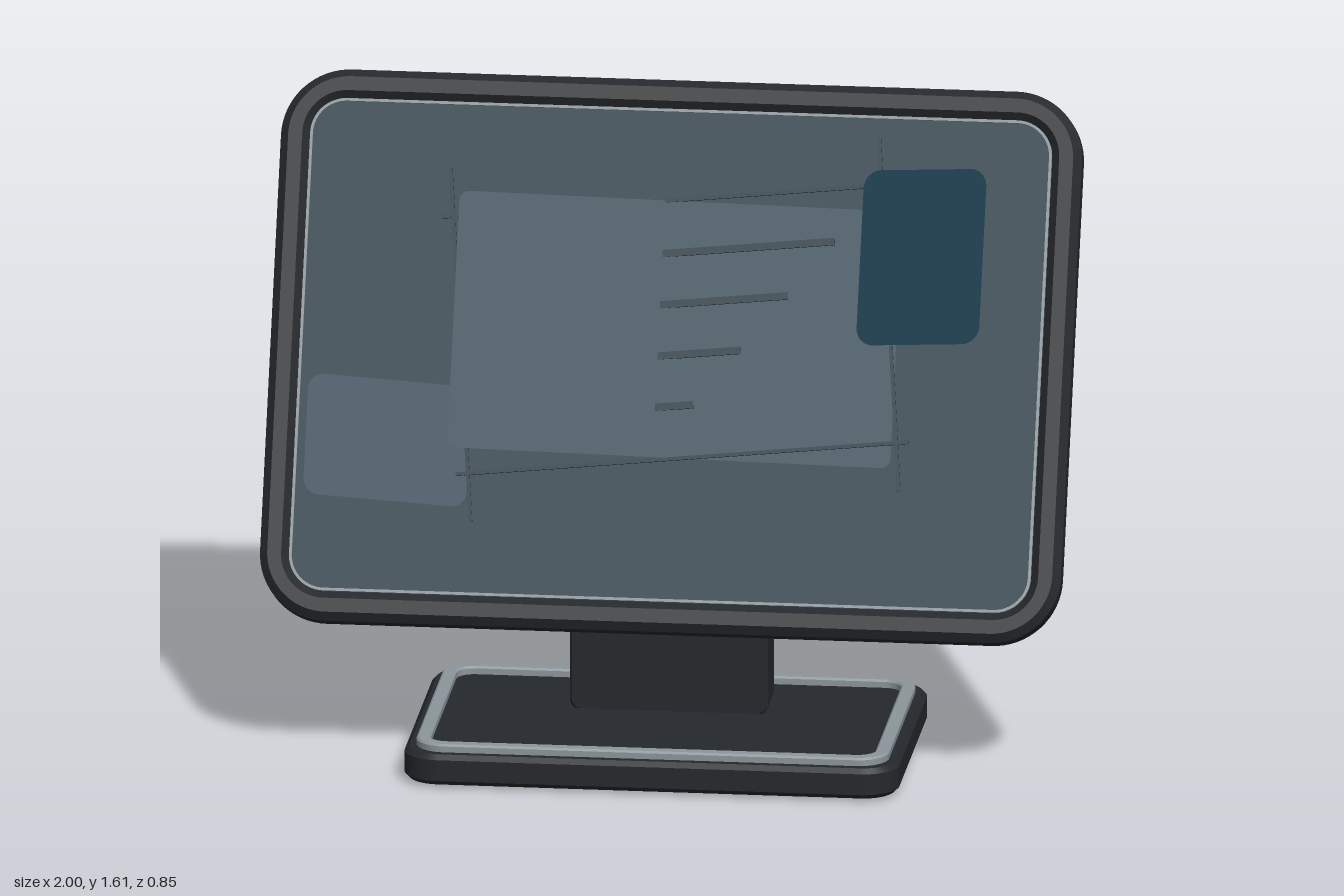
import * as THREE from 'three';

const mat = (color, side = THREE.FrontSide) => new THREE.MeshStandardMaterial({ color, side });
const DARK = mat(0x25282c), BLACK = mat(0x191b1e), METAL = mat(0x8c969b), GLASS = mat(0x87a0a8);
const SCREEN = mat(0x1d3845), LINE = mat(0x14303d), CARD = mat(0x1b3d4f, THREE.DoubleSide);

// Rounded rectangle centred on the origin
function rounded(w, h, r, Type = THREE.Shape) {
  const s = new Type(), x = w / 2, y = h / 2;
  s.moveTo(-x + r, -y);
  s.lineTo(x - r, -y); s.absarc(x - r, -y + r, r, -Math.PI / 2, 0);
  s.lineTo(x, y - r); s.absarc(x - r, y - r, r, 0, Math.PI / 2);
  s.lineTo(-x + r, y); s.absarc(-x + r, y - r, r, Math.PI / 2, Math.PI);
  s.lineTo(-x, -y + r); s.absarc(-x + r, -y + r, r, Math.PI, Math.PI * 1.5);
  return s;
}

// Bevelled plate of full depth d, centred on z; hole = [w, h, r]
function plate(w, h, r, d, bevel = 0, hole = null) {
  const s = rounded(w - 2 * bevel, h - 2 * bevel, r - bevel);
  if (hole) s.holes.push(rounded(hole[0] + 2 * bevel, hole[1] + 2 * bevel, hole[2] + bevel, THREE.Path));
  const g = new THREE.ExtrudeGeometry(s, {
    depth: d - 2 * bevel, bevelEnabled: bevel > 0, bevelSize: bevel,
    bevelThickness: bevel, bevelSegments: 1, curveSegments: 8,
  });
  return g.translate(0, 0, -d / 2 + bevel);
}

function add(parent, name, geometry, material, x = 0, y = 0, z = 0) {
  const m = new THREE.Mesh(geometry, material);
  m.name = name;
  m.position.set(x, y, z);
  parent.add(m);
  return m;
}

function buildStand() {
  const stand = new THREE.Group();
  stand.name = 'stand';
  const flat = (name, g, m, y) => { add(stand, name, g, m, 0, y, 0.045).rotation.x = -Math.PI / 2; };
  flat('foot', plate(0.98, 0.55, 0.07, 0.02), BLACK, 0.01);
  flat('base', plate(1.235, 0.77, 0.09, 0.078, 0.012), DARK, 0.047);
  flat('baseRim', plate(1.18, 0.71, 0.075, 0.03, 0.005, [1.11, 0.64, 0.045]), METAL, 0.091);

  // Neck with hinge bar and hexagonal end knobs
  add(stand, 'neck', plate(0.495, 0.37, 0.03, 0.145, 0.006), DARK, 0, 0.265, -0.088);
  const bar = new THREE.CylinderGeometry(0.045, 0.045, 0.6, 16).rotateZ(Math.PI / 2);
  add(stand, 'hingeBar', bar, METAL, 0, 0.427, -0.12);
  for (const side of [-1, 1]) {
    const knob = new THREE.CylinderGeometry(0.07, 0.07, 0.06, 6).toNonIndexed();
    knob.computeVertexNormals();
    add(stand, 'hingeKnob', knob.rotateZ(Math.PI / 2), DARK, side * 0.295, 0.427, -0.12);
  }
  return stand;
}

function buildTablet() {
  const tablet = new THREE.Group();
  tablet.name = 'tablet';
  add(tablet, 'frame', plate(2, 1.385, 0.17, 0.088, 0.02, [1.85, 1.235, 0.09]), DARK);
  add(tablet, 'screenRim', plate(1.852, 1.237, 0.09, 0.01, 0, [1.838, 1.223, 0.083]), METAL, 0, 0, 0.034);
  add(tablet, 'screen', plate(1.84, 1.225, 0.085, 0.03), SCREEN, 0, 0, 0.019);
  add(tablet, 'backPlate', plate(1.852, 1.237, 0.09, 0.035), BLACK, 0, 0, -0.0155);
  add(tablet, 'backPanel', plate(1.68, 1.09, 0.03, 0.02), GLASS, 0, 0, -0.029);

  // Rear camera
  add(tablet, 'cameraBump', plate(0.25, 0.17, 0.05, 0.04, 0.008), BLACK, -0.74, 0.48, -0.052);
  for (const dx of [-0.058, 0.058]) {
    const lens = new THREE.CylinderGeometry(0.036, 0.036, 0.02, 20).rotateX(Math.PI / 2);
    add(tablet, 'cameraLens', lens, GLASS, -0.74 + dx, 0.48, -0.07);
  }
  return tablet;
}

function buildHologram() {
  const hologram = new THREE.Group();
  hologram.name = 'floatingDisplay';
  // Floating cards: name, width, height, radius, x, y, z, yaw
  const cards = [
    ['mainCard', 1.1, 0.645, 0.025, 0.03, 0.035, 0.236, 0.1],
    ['rightCard', 0.42, 0.303, 0.04, -0.685, -0.25, 0.129, 0.37],
    ['leftCard', 0.33, 0.44, 0.045, 0.648, 0.22, 0.347, -0.29],
  ];
  for (const [name, w, h, r, x, y, z, yaw] of cards) {
    add(hologram, name, new THREE.ShapeGeometry(rounded(w, h, r), 8), CARD, x, y, z).rotation.y = yaw;
  }

  // Thin crossing border lines and content bars, slightly rolled
  const lines = new THREE.Group();
  lines.name = 'lineWork';
  lines.position.set(0.03, 0.035, 0.237);
  lines.rotation.z = 0.105;
  hologram.add(lines);
  for (const s of [-1, 1]) {
    add(lines, 'horizontalLine', new THREE.BoxGeometry(1.13, 0.009, 0.006), LINE, 0, s * 0.324);
    add(lines, 'verticalLine', new THREE.BoxGeometry(0.009, 0.89, 0.006), LINE, s * 0.535, 0);
  }
  for (let i = 0; i < 4; i++) {
    const end = 0.41 - i * 0.125, start = -0.41;
    const bar = new THREE.BoxGeometry(end - start, 0.018, 0.006);
    add(lines, 'contentBar', bar, LINE, (start + end) / 2, 0.192 - i * 0.128);
  }
  return hologram;
}

export function createModel() {
  const model = new THREE.Group();
  model.name = 'tabletOnStand';
  const tilted = new THREE.Group();
  tilted.name = 'tiltedScreen';
  tilted.position.set(0, 0.98, -0.0875);
  tilted.rotation.x = -0.447;
  tilted.add(buildTablet(), buildHologram());
  model.add(buildStand(), tilted);
  return model;
}
